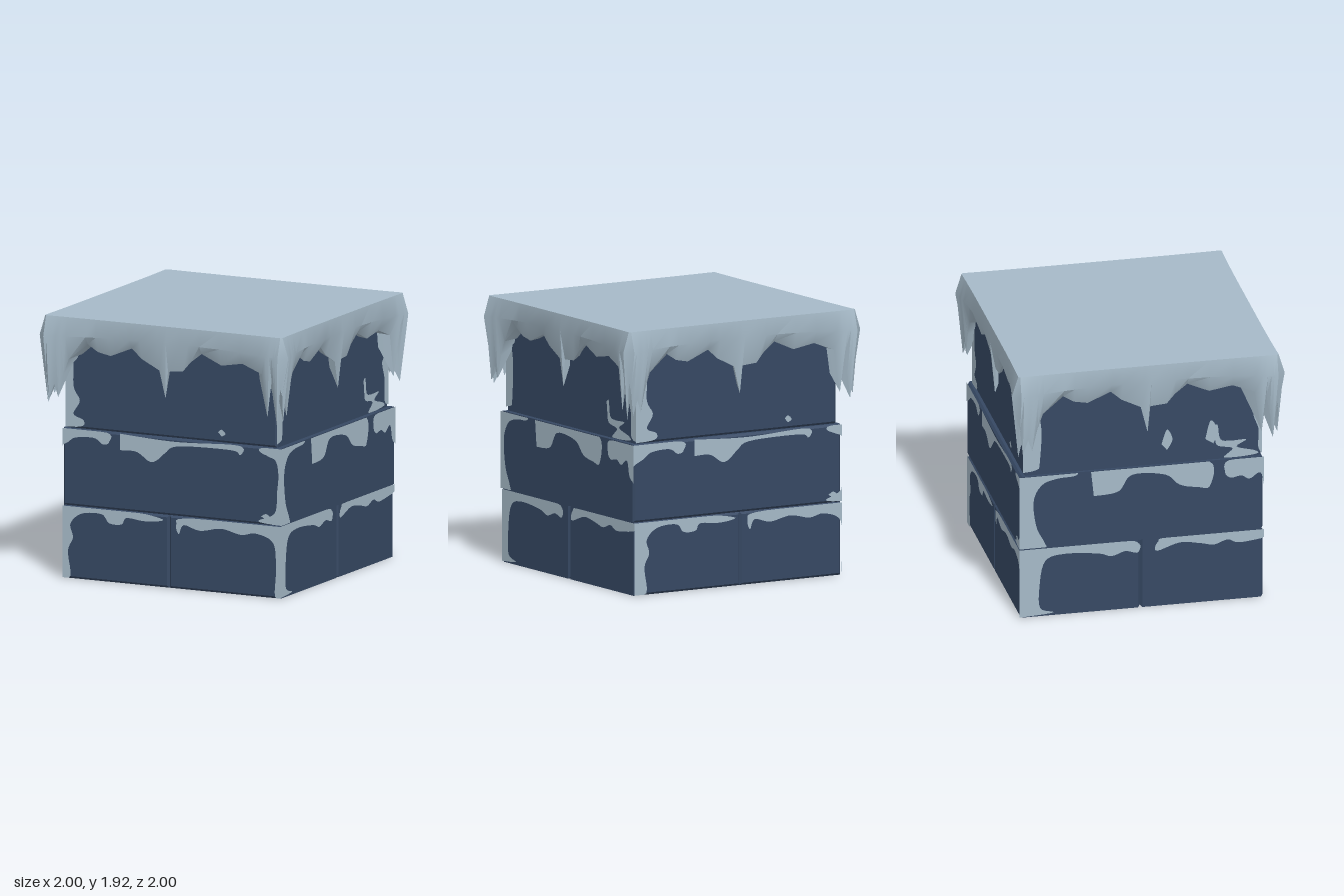
import * as THREE from 'three';
import { toCreasedNormals } from 'three/addons/utils/BufferGeometryUtils.js';

const stone = new THREE.MeshStandardMaterial({ color: 0x364863 });
stone.name = 'darkBlueStone';
const snow = new THREE.MeshStandardMaterial({ color: 0xa5b9c7 });
snow.name = 'paleBlueSnow';

// Courses of stone: height range and wall distance on the +z, +x, -z, -x sides
const ROWS = [
  { name: 'lower', y: [0, 0.53], wall: [0.86, 0.89, 0.92, 0.85] },
  { name: 'middle', y: [0.53, 1.095], wall: [0.86, 0.9, 0.92, 0.85] },
  { name: 'upper', y: [1.095, 1.85], wall: [0.85, 0.86, 0.89, 0.83] },
];

// Frost outlines per course, in wall coordinates (u to the viewer's right, y up).
// Each is a smooth line closed by a straight edge; u = -1 and 1 reach the corners.
const FROST_A = [
  [
    [[-1, .54], [-.3, .53], [-.06, .5], [-.08, .48], [-.2, .47], [-.34, .48], [-.38, .43], [-.48, .43], [-.54, .49],
      [-.7, .48], [-.79, .4], [-.77, .3], [-.81, .2], [-.8, 0], [-1, 0]],
    [[1, 0], [.86, 0], [.86, .2], [.84, .4], [.7, .46], [.58, .44], [.42, .47], [.25, .44], [.12, .47], [.08, .4],
      [.06, .47], [.14, .52], [.8, .54], [1, .54]],
  ],
  [
    [[-1, 1.1], [-.51, 1.09], [-.48, 1.02], [-.53, 1], [-.6, 1.04], [-.75, 1.03], [-.83, .98], [-1, .9]],
    [[-.39, 1.09], [.05, 1.07], [.5, 1.09], [.6, 1.07], [.57, 1.02], [.5, 1.05], [.08, 1.04], [-.03, .98], [-.1, .92],
      [-.16, .91], [-.26, .97], [-.39, .97]],
    [[1, 1.09], [.76, 1.09], [.73, 1.06], [.8, 1.03], [.86, 1], [.88, .9], [.87, .78], [.85, .62], [.72, .55], [1, .53]],
    [[.74, .59], [.78, .61], [.81, .59], [.78, .57]],
  ],
  [
    [[-1, 1.62], [-.79, 1.62], [-.77, 1.4], [-.72, 1.3], [-.77, 1.2], [-.69, 1.16], [-.72, 1.11], [-1, 1.1]],
    [[.39, 1.17], [.42, 1.19], [.45, 1.16], [.42, 1.14]],
  ],
];
const FROST_B = [
  [
    [[-1, .54], [-.2, .53], [-.05, .5], [-.06, .43], [-.15, .45], [-.25, .42], [-.35, .45], [-.6, .47], [-.74, .42],
      [-.78, .2], [-.77, .06], [-.68, .02], [-1, 0]],
    [[1, .54], [.2, .53], [.09, .5], [.08, .43], [.25, .48], [.4, .46], [.5, .44], [.6, .47], [.7, .44], [1, .48]],
  ],
  [
    [[-1, 1.1], [-.54, 1.1], [-.52, 1.07], [-.65, 1.06], [-.76, 1.02], [-.82, .9], [-.8, .7], [-.74, .57], [-.75, .53], [-1, .53]],
    [[-.4, 1.09], [.1, 1.1], [.47, 1.09], [.47, .9], [.38, .9], [.25, .93], [.14, 1.02], [-.1, 1.04], [-.2, .92], [-.38, .9]],
    [[1, 1.09], [.62, 1.09], [.58, 1], [.62, .95], [.7, .96], [.76, .93], [.84, .97], [.88, .85], [1, .8]],
  ],
  [
    [[-1, 1.6], [-.78, 1.55], [-.77, 1.2], [-.81, 1.13], [-1, 1.12]],
    [[.5, 1.35], [.53, 1.36], [.55, 1.25], [.62, 1.23], [.74, 1.23], [.67, 1.18], [.8, 1.14], [.81, 1.11], [.58, 1.1],
      [.64, 1.17], [.53, 1.2], [.51, 1.27]],
    [[1, 1.11], [.84, 1.13], [.83, 1.3], [.8, 1.45], [1, 1.5]],
  ],
];
const OVALS = [
  [[.12, 1.25], [.16, 1.36], [.2, 1.28], [.16, 1.2]],
  [[.44, 1.26], [.48, 1.4], [.53, 1.32], [.5, 1.22]],
];
const SIDES = ['front', 'right', 'back', 'left'];
const clamp = THREE.MathUtils.clamp;

// Stone block with chamfered edges
function brick(x0, x1, y0, y1, z0, z1, b, name) {
  const s = new THREE.Shape();
  s.moveTo(x0 + b, y0 + b);
  s.lineTo(x1 - b, y0 + b);
  s.lineTo(x1 - b, y1 - b);
  s.lineTo(x0 + b, y1 - b);
  s.closePath();
  const g = new THREE.ExtrudeGeometry(s, {
    depth: z1 - z0 - 2 * b, bevelEnabled: true, bevelSize: b, bevelThickness: b, bevelSegments: 1,
  });
  g.translate(0, 0, z0 + b);
  const m = new THREE.Mesh(g, stone);
  m.name = name;
  return m;
}

// Thin frost patch lying on one wall of one course
function frost(points, row, k) {
  const left = row.wall[(k + 3) % 4], right = row.wall[(k + 1) % 4];
  const curve = new THREE.SplineCurve(points.map(p => new THREE.Vector2(p[0], p[1])));
  const outline = curve.getPoints(points.length * 5);
  for (const p of outline) {
    p.x = clamp(p.x, -left - 0.004, right + 0.004);
    p.y = clamp(p.y, row.y[0] + 0.004, row.y[1] - 0.004);
  }
  const g = new THREE.ShapeGeometry(new THREE.Shape(outline));
  g.translate(0, 0, row.wall[k] + 0.004);
  g.rotateY(k * Math.PI / 2);
  const m = new THREE.Mesh(g, snow);
  m.name = SIDES[k] + 'FrostPatch';
  return m;
}

// Dripping hem of the snow cap along one side: [u, y]
const HEM = [
  [-.94, 1.5], [-.92, 1.31], [-.88, 1.42], [-.85, 1.33], [-.81, 1.5], [-.77, 1.61], [-.62, 1.73], [-.54, 1.68],
  [-.44, 1.66], [-.27, 1.73], [-.19, 1.66], [-.05, 1.59], [0, 1.39], [.02, 1.59], [.14, 1.6], [.2, 1.67], [.29, 1.74],
  [.45, 1.67], [.62, 1.7], [.78, 1.64], [.83, 1.33], [.865, 1.6], [.89, 1.45], [.91, 1.28], [.94, 1.55],
];

// Snow cap: four rings (top edge, bulge, hem, tucked-in underside) and a flat top
function snowCap() {
  const pos = [0, 1.92, 0], idx = [], n = HEM.length * 4;
  const rings = [
    (u) => [u, 1.92, 0.945 + 0.01 * u ** 4],
    (u) => [u, 1.77 + 0.03 * (1 - u * u), 0.955 + 0.055 * u ** 4],
    (u, y) => [u, y, 0.915 + 0.045 * u ** 4],
    (u, y) => [u * 0.88, Math.max(y, 1.62) + 0.03, 0.82],
  ];
  for (const ring of rings) {
    for (let k = 0; k < 4; k++) {
      const c = Math.round(Math.cos(k * Math.PI / 2)), s = Math.round(Math.sin(k * Math.PI / 2));
      for (const [u0, y0] of HEM) {
        const [u, y, d] = ring(u0, y0);
        pos.push(u * c + d * s, y, d * c - u * s);
      }
    }
  }
  for (let i = 0; i < n; i++) {
    const j = (i + 1) % n;
    idx.push(0, 1 + i, 1 + j);
    for (let r = 0; r < 3; r++) {
      const a = 1 + r * n + i, d = 1 + r * n + j;
      idx.push(a, a + n, d, a + n, d + n, d);
    }
  }
  const g = new THREE.BufferGeometry();
  g.setAttribute('position', new THREE.Float32BufferAttribute(pos, 3));
  g.setIndex(idx);
  const m = new THREE.Mesh(toCreasedNormals(g, 0.7), snow);
  m.name = 'snowCap';
  return m;
}

export function createModel() {
  const model = new THREE.Group();
  model.name = 'snowyStoneBlock';

  // Courses: the lowest is split into four stones
  ROWS.forEach((row, r) => {
    const [f, rt, bk, lf] = row.wall, [y0, y1] = row.y;
    const course = new THREE.Group();
    course.name = row.name + 'Course';
    const xs = r === 0 ? [-lf, 0, rt] : [-lf, rt];
    const zs = r === 0 ? [-bk, -0.04, f] : [-bk, f];
    for (let i = 0; i + 1 < xs.length; i++) {
      for (let j = 0; j + 1 < zs.length; j++) {
        course.add(brick(xs[i], xs[i + 1], y0, y1, zs[j], zs[j + 1], 0.016, row.name + 'Stone'));
      }
    }
    // Frost on the four walls
    for (let k = 0; k < 4; k++) {
      const set = (k % 2 ? FROST_B : FROST_A)[r];
      const extra = k === 3 && r === 2 ? OVALS : [];
      for (const points of [...set, ...extra]) course.add(frost(points, row, k));
    }
    model.add(course);
  });

  model.add(snowCap());
  return model;
}
